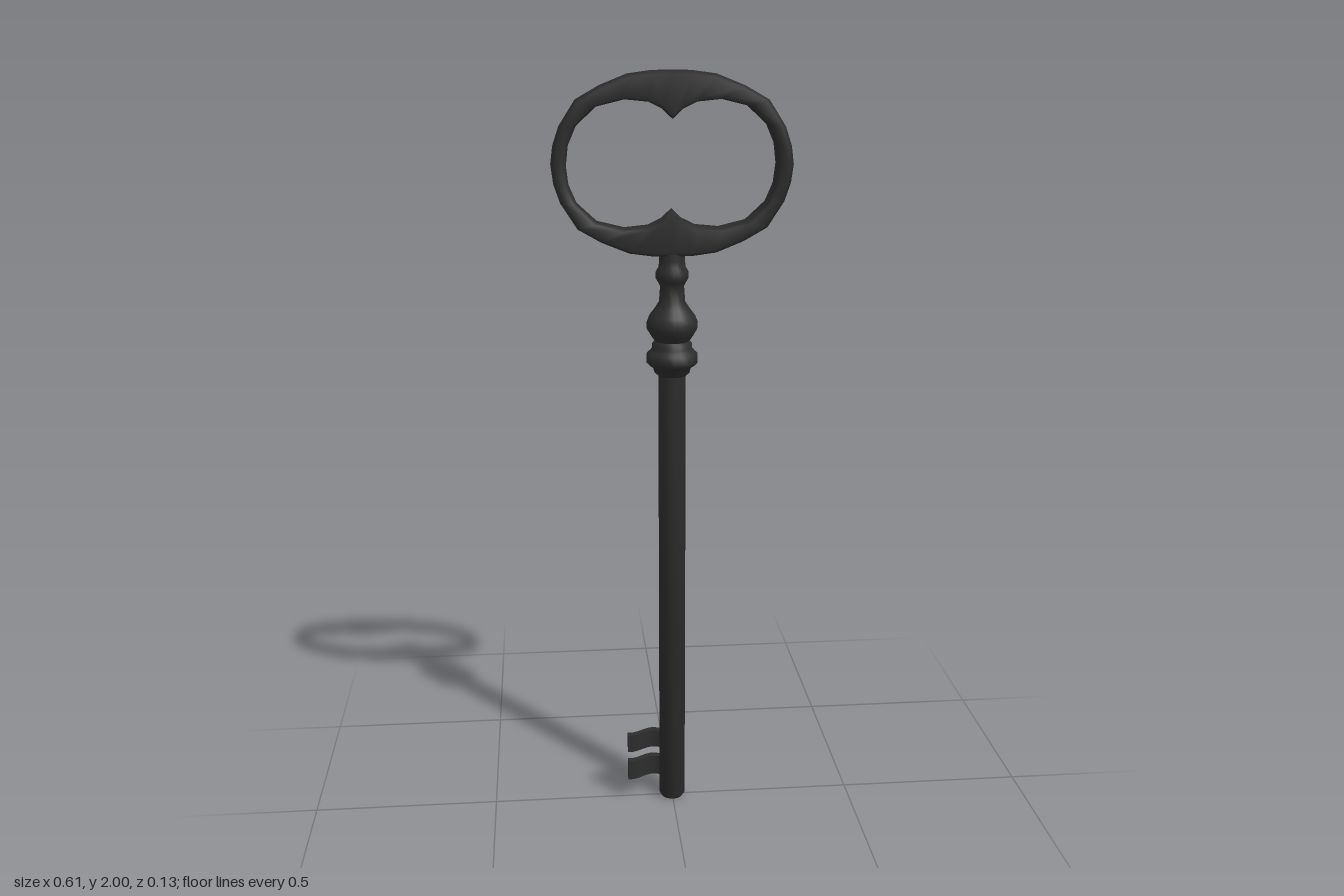
import * as THREE from 'three';
import { toCreasedNormals } from 'three/addons/utils/BufferGeometryUtils.js';

const iron = new THREE.MeshStandardMaterial({ color: 0x2c2c2c });
iron.name = 'dark iron';

function part(name, geometry) {
  const mesh = new THREE.Mesh(geometry, iron);
  mesh.name = name;
  return mesh;
}

function lathe(profile) {
  const points = profile.map(([r, y]) => new THREE.Vector2(r, y));
  return toCreasedNormals(new THREE.LatheGeometry(points, 20), 0.9);
}

// Oval handle: a chamfered section swept between an outer oval and a cusped opening
function bowGeometry() {
  // One quarter, as outer x, y and inner x, y
  const quarter = [
    [0, 0.228, 0, 0.112], [0.05, 0.227, 0.025, 0.136], [0.11, 0.219, 0.06, 0.153],
    [0.18, 0.191, 0.12, 0.159], [0.24, 0.157, 0.19, 0.142], [0.282, 0.092, 0.24, 0.096],
    [0.298, 0.045, 0.26, 0.05], [0.304, 0, 0.266, 0],
  ];
  const flip = (list, sx, sy) => list.map(([a, b, c, d]) => [a * sx, b * sy, c * sx, d * sy]);
  const back = [...quarter].reverse();
  const ring = [
    ...quarter, ...flip(back.slice(1), 1, -1),
    ...flip(quarter.slice(1), -1, -1), ...flip(back.slice(1, -1), -1, 1),
  ];
  const depth = 0.0365, chamfer = 0.01;
  const positions = [], index = [];
  for (const [ox, oy, ix, iy] of ring) {
    const c = chamfer / Math.hypot(ox - ix, oy - iy);
    const section = [
      [1, -depth + chamfer], [1, depth - chamfer], [1 - c, depth], [c, depth],
      [0, depth - chamfer], [0, -depth + chamfer], [c, -depth], [1 - c, -depth],
    ];
    for (const [t, z] of section) {
      positions.push(ix + (ox - ix) * t, iy + (oy - iy) * t, z);
    }
  }
  const n = ring.length;
  for (let i = 0; i < n; i++) {
    for (let j = 0; j < 8; j++) {
      const a = i * 8 + j, c = i * 8 + (j + 1) % 8;
      const b = ((i + 1) % n) * 8 + j, d = ((i + 1) % n) * 8 + (j + 1) % 8;
      index.push(a, c, b, b, c, d);
    }
  }
  const geometry = new THREE.BufferGeometry();
  geometry.setAttribute('position', new THREE.Float32BufferAttribute(positions, 3));
  geometry.setIndex(index);
  geometry.computeVertexNormals();
  return geometry;
}

// Key tooth: a plate bent into a gentle S along its length
function toothGeometry(height) {
  const geometry = new THREE.BoxGeometry(0.105, height, 0.02, 8, 1, 1);
  const p = geometry.attributes.position;
  for (let i = 0; i < p.count; i++) {
    const t = 0.5 - p.getX(i) / 0.105;
    p.setZ(i, p.getZ(i) - 0.014 * Math.sin(t * Math.PI * 1.6));
  }
  return toCreasedNormals(geometry, 0.7);
}

export function createModel() {
  const key = new THREE.Group();
  key.name = 'key';

  const bow = part('bow', bowGeometry());
  bow.position.y = 1.772;
  key.add(bow);

  key.add(part('shaft', lathe([[0, 0], [0.03, 0], [0.036, 0.01], [0.036, 1.24]])));

  // Turned collar, bulb and bead between shaft and bow
  key.add(part('collar', lathe([
    [0.036, 1.23], [0.046, 1.238], [0.05, 1.252], [0.06, 1.258], [0.067, 1.265],
    [0.067, 1.288], [0.058, 1.296], [0.052, 1.304], [0.052, 1.315], [0.045, 1.322],
    [0.056, 1.338], [0.066, 1.355], [0.067, 1.37], [0.06, 1.388], [0.045, 1.408],
    [0.034, 1.425], [0.031, 1.465], [0.036, 1.475], [0.042, 1.485], [0.042, 1.502],
    [0.035, 1.515], [0.033, 1.53], [0.033, 1.58],
  ])));

  // Pair of teeth near the tip
  for (const [name, y, height] of [['upperTooth', 0.175, 0.05], ['lowerTooth', 0.092, 0.056]]) {
    const tooth = part(name, toothGeometry(height));
    tooth.position.set(-0.0735, y, 0);
    key.add(tooth);
  }
  return key;
}
